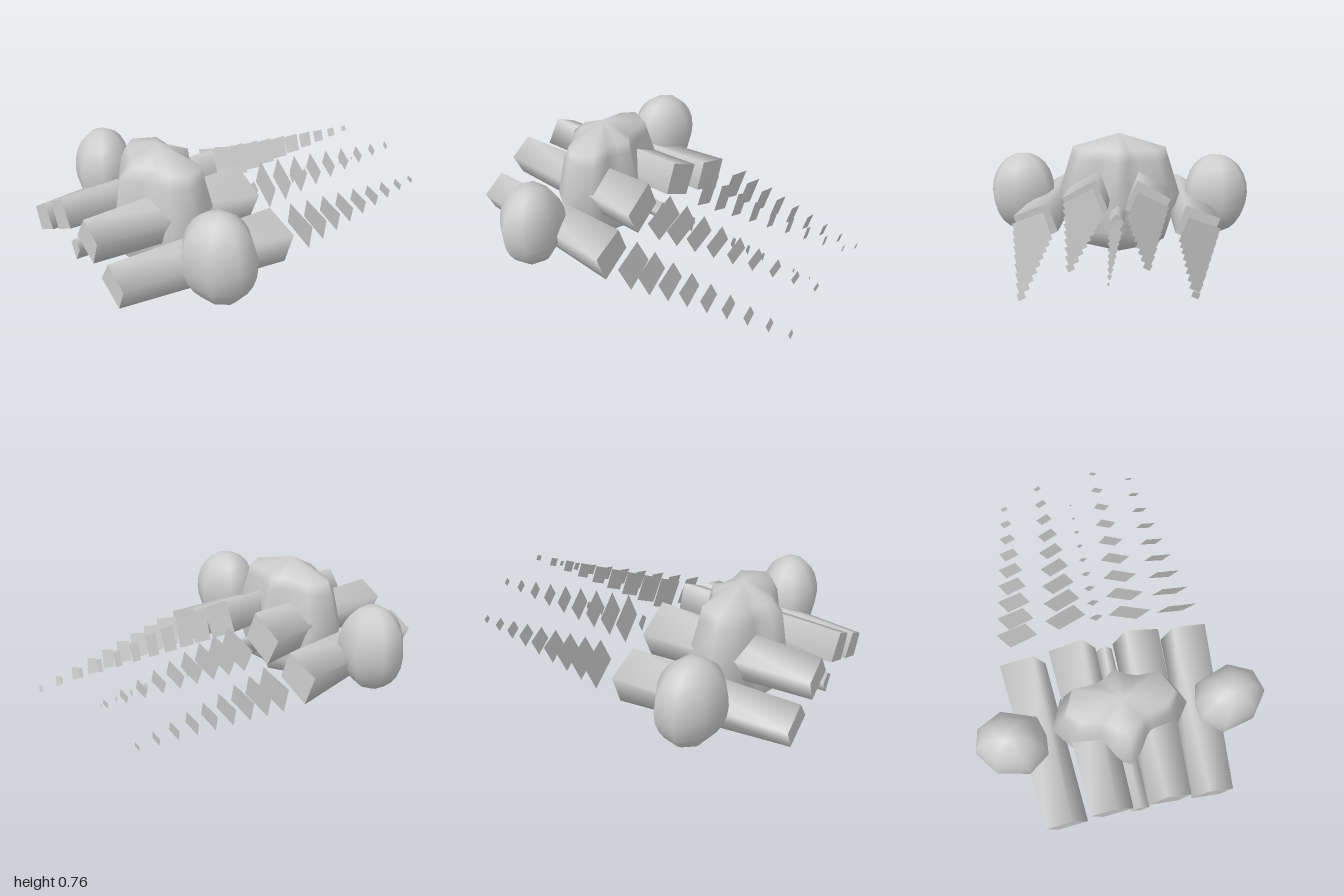
import * as THREE from 'three';
import { mergeVertices, mergeGeometries } from 'three/addons/utils/BufferGeometryUtils.js';

const material = new THREE.MeshStandardMaterial({ color: 0xcccccc });
const thinMaterial = new THREE.MeshStandardMaterial({ color: 0xcccccc, side: THREE.DoubleSide });

// Smooth skin over closed rings of [x, y, z] points, counter-clockwise about the ring axis
function loft(rings) {
  const n = rings[0].length, index = [];
  for (let i = 0; i < rings.length - 1; i++) {
    for (let j = 0; j < n; j++) {
      const a = i * n + j, b = i * n + (j + 1) % n;
      index.push(a, b, b + n, a, b + n, a + n);
    }
  }
  let g = new THREE.BufferGeometry();
  g.setAttribute('position', new THREE.Float32BufferAttribute(rings.flat(2), 3));
  g.setIndex(index);
  g = mergeVertices(g, 1e-4);
  g.computeVertexNormals();
  return g;
}

// Flat four-cornered panel
function quad(points) {
  const g = new THREE.BufferGeometry();
  g.setAttribute('position', new THREE.Float32BufferAttribute(points.flat(), 3));
  g.setIndex([0, 1, 2, 0, 2, 3]);
  g.computeVertexNormals();
  return g;
}

// Four-sided tapering tube with flat ends
function tube(back, front) {
  const b = back.map(([x, y]) => [x, y, x === 0 ? 0.08 : 0.09 - 0.04 * Math.abs(x)]);
  const f = front.map(([x, y]) => [x, y, 1]);
  return mergeGeometries([loft([b, f]), quad(f), quad([...b].reverse())]);
}

const mirror = (corners) => corners.map(([x, y]) => [-x, y]).reverse();

function createModel() {
  const model = new THREE.Group();
  const add = (name, geometry, mat = material, parent = model) => {
    const mesh = new THREE.Mesh(geometry, mat);
    mesh.name = name;
    parent.add(mesh);
    return mesh;
  };

  // Central hull: one plan outline with nose and tail bulges, scaled up the height
  const half = [[0, 1], [0.19, 0.85], [0.31, 0.66], [0.44, 0.56], [0.79, 0.4],
    [1, 0], [0.8, -0.67], [0.4, -0.67], [0.19, -0.79], [0, -1]];
  const outline = [...half, ...half.slice(1, -1).reverse().map(([x, z]) => [-x, z])];
  const hullRings = [ // y, half width, reach forward, reach back
    [0.005, 0, 0, 0], [0.095, 0.285, 0.16, 0.18], [0.165, 0.307, 0.225, 0.19],
    [0.39, 0.375, 0.27, 0.24],
    [0.615, 0.305, 0.23, 0.19], [0.68, 0.285, 0.16, 0.18], [0.765, 0, 0, 0],
  ];
  add('hull', loft(hullRings.map(([y, w, f, b]) =>
    outline.map(([x, z]) => [x * w, y, 0.5 + z * (z > 0 ? f : b)]))));

  // Side pods: eight-sided ovals, mirrored
  const podPlan = [[-0.065, 0.175], [0.11, 0.135], [0.2, 0.015], [0.17, -0.105],
    [0.03, -0.175], [-0.16, -0.105], [-0.19, 0], [-0.18, 0.1]];
  for (const side of [1, -1]) {
    const plan = side > 0 ? podPlan : podPlan.map(([x, z]) => [-x, z]).reverse();
    const rings = [];
    for (let i = 0; i <= 12; i++) {
      const t = Math.PI * i / 12, r = Math.sin(t);
      rings.push(plan.map(([x, z]) => [side * 0.6 + x * r, 0.385 - 0.245 * Math.cos(t), 0.525 + z * r]));
    }
    add(side > 0 ? 'leftPod' : 'rightPod', loft(rings));
  }

  // Engine tubes: corners at the back and front ends
  const inner = {
    back: [[0.12, 0.565], [0.05, 0.39], [0.23, 0.29], [0.31, 0.46]],
    front: [[0.13, 0.53], [0.04, 0.4], [0.205, 0.32], [0.265, 0.455]],
  };
  const outer = {
    back: [[0.4, 0.425], [0.34, 0.26], [0.53, 0.165], [0.595, 0.35]],
    front: [[0.37, 0.4], [0.285, 0.28], [0.455, 0.2], [0.51, 0.32]],
  };
  const centre = {
    back: [[0, 0.365], [-0.045, 0.318], [0, 0.24], [0.045, 0.318]],
    front: [[0, 0.36], [-0.05, 0.318], [0, 0.24], [0.05, 0.318]],
  };
  const flip = (t) => ({ back: mirror(t.back), front: mirror(t.front) });

  // Each engine trails a row of shrinking, slightly tilted panels
  const engines = [ // name, tube, first z, last z, last centre x, last centre y, tilt by x, tilt by y
    ['leftOuter', outer, -0.08, -0.99, 0.39, 0.28, 0.02, 0.2],
    ['rightOuter', flip(outer), -0.11, -0.945, -0.4, 0.28, 0, -0.17],
    ['leftInner', inner, -0.065, -0.99, 0.165, 0.42, 0.16, 0.05],
    ['rightInner', flip(inner), -0.11, -0.96, -0.18, 0.42, -0.09, -0.11],
    ['centre', centre, -0.12, -0.875, 0, 0.3, 0, 0.05],
  ];
  const count = 9;
  for (const [name, shape, z0, z1, endX, endY, tiltX, tiltY] of engines) {
    add(name + 'Engine', tube(shape.back, shape.front));
    const trail = new THREE.Group();
    trail.name = name + 'Trail';
    model.add(trail);
    const cx = shape.back.reduce((s, p) => s + p[0], 0) / 4;
    const cy = shape.back.reduce((s, p) => s + p[1], 0) / 4;
    for (let i = 0; i < count; i++) {
      const t = i / (count - 1), size = THREE.MathUtils.lerp(0.9, 0.17, t);
      const x0 = THREE.MathUtils.lerp(cx, endX, t), y0 = THREE.MathUtils.lerp(cy, endY, t);
      const z = THREE.MathUtils.lerp(z0, z1, t);
      add('trailPanel', quad(shape.back.map(([x, y]) => {
        const dx = (x - cx) * size, dy = (y - cy) * size;
        return [x0 + dx, y0 + dy, z + dx * tiltX + dy * tiltY];
      })), thinMaterial, trail);
    }
  }
  return model;
}

export { createModel };
